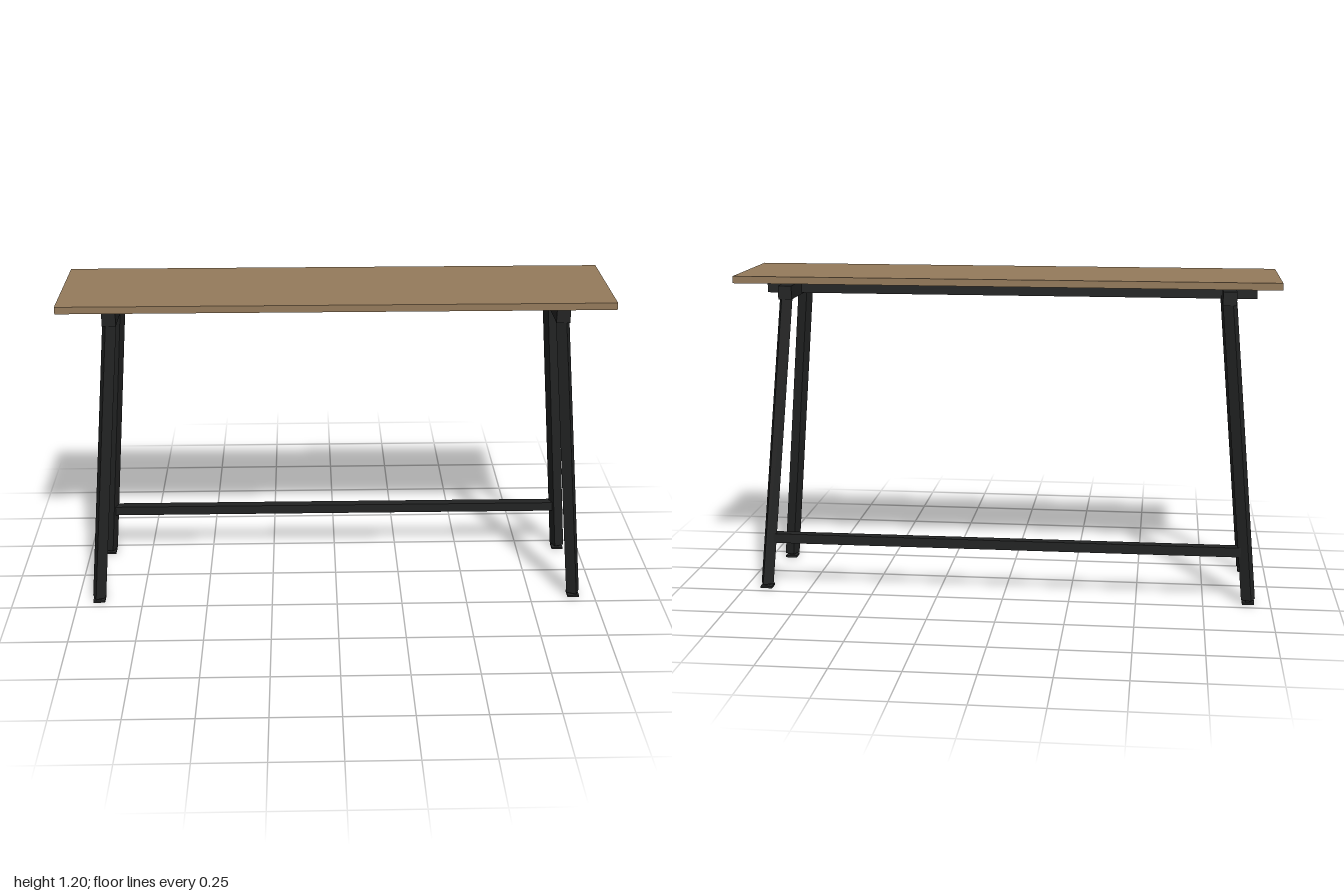
import * as THREE from 'three';

export function createModel() {
  const model = new THREE.Group();
  model.name = 'barTable';
  const wood = new THREE.MeshStandardMaterial({ color: 0x957b5b });
  wood.name = 'wood';
  const metal = new THREE.MeshStandardMaterial({ color: 0x222323 });
  metal.name = 'blackMetal';

  function box(name, material, [w, h, d], [x, y, z]) {
    const mesh = new THREE.Mesh(new THREE.BoxGeometry(w, h, d), material);
    mesh.name = name;
    mesh.position.set(x, y, z);
    model.add(mesh);
    return mesh;
  }

  // Square tube turned towards its splay, with level cut ends
  function legGeometry(sx, sz) {
    const y0 = 0.015, y1 = 1.125;
    const foot = new THREE.Vector2(0.918 * sx, 0.196 * sz);
    const head = new THREE.Vector2(0.818 * sx, 0.153 * sz);
    const geo = new THREE.BoxGeometry(0.04, 1, 0.04);
    geo.rotateY(-sx * sz * 0.4);
    const p = geo.attributes.position;
    for (let i = 0; i < p.count; i++) {
      const t = p.getY(i) + 0.5;
      p.setXYZ(i,
        p.getX(i) + foot.x + (head.x - foot.x) * t,
        y0 + (y1 - y0) * t,
        p.getZ(i) + foot.y + (head.y - foot.y) * t);
    }
    geo.computeVertexNormals();
    return geo;
  }

  // Top and the long beam beneath it
  box('tableTop', wood, [2, 0.026, 0.446], [0, 1.191, 0]);
  box('centreBeam', metal, [1.845, 0.058, 0.05], [0, 1.149, 0]);

  for (const sx of [-1, 1]) {
    // Cross bar joining each pair of legs
    box('crossBar', metal, [0.05, 0.05, 0.36], [0.817 * sx, 1.14, 0]);
    for (const sz of [-1, 1]) {
      const leg = new THREE.Mesh(legGeometry(sx, sz), metal);
      leg.name = 'leg';
      model.add(leg);
      // Levelling foot: short stem on a thin plate
      box('footStem', metal, [0.02, 0.014, 0.02], [0.918 * sx, 0.012, 0.196 * sz]);
      box('footPlate', metal, [0.045, 0.008, 0.045], [0.918 * sx, 0.004, 0.196 * sz]);
    }
  }

  // Footrest between the back legs
  box('footRail', metal, [1.77, 0.036, 0.036], [0, 0.198, -0.188]);

  return model;
}
